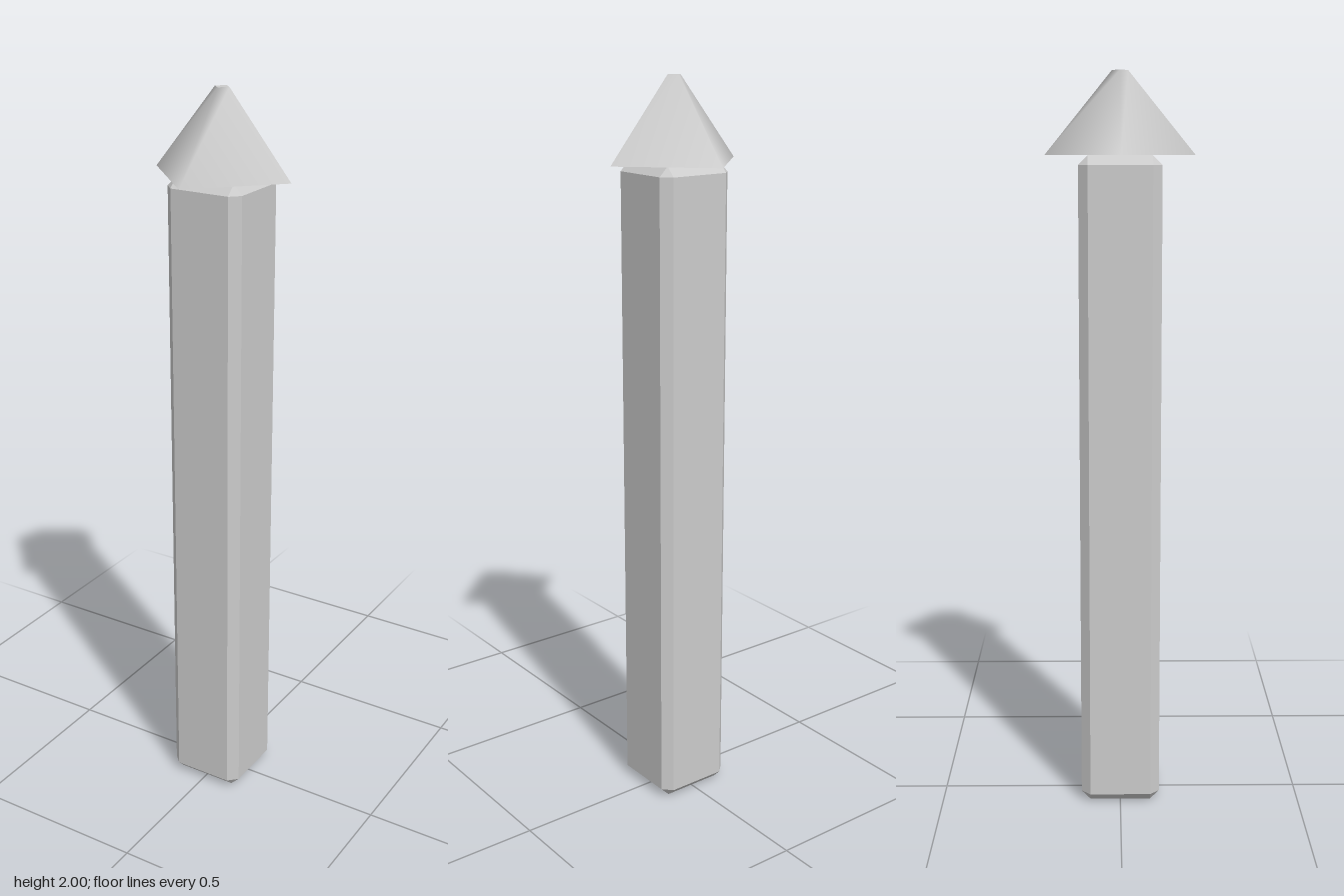
import * as THREE from 'three';
import { ConvexGeometry } from 'three/addons/geometries/ConvexGeometry.js';

const POST_HEIGHT = 1.784;
const CAP_HEIGHT = 2 - POST_HEIGHT;

// Box with every edge and corner bevelled, standing on y = 0
function chamferedBox(half, height, bevel) {
  const points = [];
  const h = height / 2;
  for (const sx of [-1, 1]) for (const sy of [-1, 1]) for (const sz of [-1, 1]) {
    // each corner becomes three points, one on each neighbouring face
    for (let face = 0; face < 3; face++) {
      const inset = [0, 1, 2].map((axis) => (axis === face ? 0 : bevel));
      points.push(new THREE.Vector3(
        sx * (half - inset[0]),
        h + sy * (h - inset[1]),
        sz * (half - inset[2])
      ));
    }
  }
  return new ConvexGeometry(points);
}

export function createModel() {
  const model = new THREE.Group();
  model.name = 'fencePost';

  const grey = new THREE.MeshStandardMaterial({ color: 0xcccccc });
  grey.name = 'light grey';

  // Square post with bevelled edges
  const post = new THREE.Mesh(chamferedBox(0.109, POST_HEIGHT, 0.025), grey);
  post.name = 'post';
  model.add(post);

  // Four-sided pointed cap, softly shaded with its seam on the +x corner
  const capShape = new THREE.CylinderGeometry(0.021, 0.199, CAP_HEIGHT, 4);
  capShape.rotateY(Math.PI / 2);
  capShape.computeVertexNormals();
  const cap = new THREE.Mesh(capShape, grey);
  cap.name = 'cap';
  cap.position.y = POST_HEIGHT + CAP_HEIGHT / 2;
  model.add(cap);

  return model;
}
